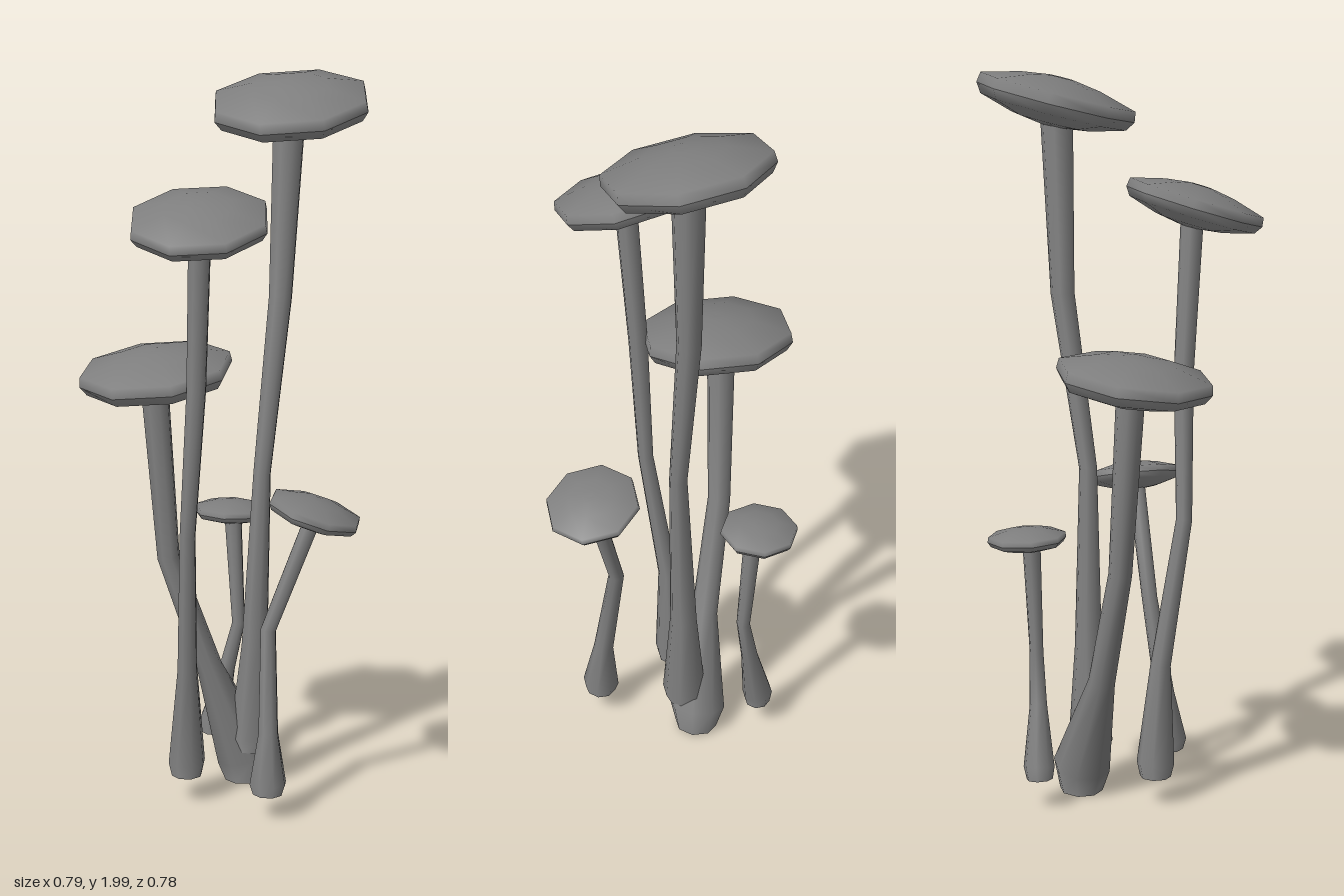
import * as THREE from 'three';

const SIDES = 8;
const UP = new THREE.Vector3(0, 1, 0);
const crownMaterial = new THREE.MeshStandardMaterial({ color: 0x7e7e7e });
const undersideMaterial = new THREE.MeshStandardMaterial({ color: 0x9a9a9a });
const stemMaterial = new THREE.MeshStandardMaterial({ color: 0x848484, side: THREE.DoubleSide });

// Cap cross-sections for a rim radius of 1, listed upwards
const toProfile = (pairs) => pairs.map(([x, y]) => new THREE.Vector2(x, y));
const UNDERSIDE = toProfile([[0, -0.34], [0.15, -0.33], [0.5, -0.28], [0.92, -0.16], [1, -0.04]]);
const CROWN = toProfile([[1, -0.04], [0.98, 0.09], [0.5, 0.22], [0.16, 0.27], [0, 0.265]]);

// slope: [dy/dx, dy/dz] of the cap; stem rings: [x, y, z, radius] from base to top
const MUSHROOMS = [
  {
    name: 'tallest', center: [0.09, 1.922, -0.178], radius: 0.22, slope: [-0.05, -0.25], turn: 5,
    stem: [[0.025, 0.11, -0.075, 0.045], [0.027, 0.15, -0.078, 0.062], [0.035, 0.42, -0.085, 0.038],
      [0.055, 0.92, -0.088, 0.025], [0.072, 1.4, -0.16, 0.033], [0.087, 1.88, -0.177, 0.045]],
  },
  {
    name: 'secondTallest', center: [0.024, 1.652, 0.207], radius: 0.189, slope: [-0.09, -0.29], turn: 5,
    stem: [[-0.07, 0.085, 0.118, 0.043], [-0.07, 0.125, 0.118, 0.052], [-0.06, 0.4, 0.13, 0.028],
      [-0.025, 0.8, 0.188, 0.022], [0, 1.2, 0.182, 0.027], [0.022, 1.62, 0.2, 0.031]],
  },
  {
    name: 'middle', center: [-0.185, 1.212, 0.074], radius: 0.212, slope: [0.05, -0.14], turn: -4,
    stem: [[0, 0.013, -0.1, 0.06], [-0.005, 0.085, -0.098, 0.08], [-0.078, 0.35, -0.03, 0.037],
      [-0.172, 0.68, 0.035, 0.032], [-0.195, 1.18, 0.066, 0.039]],
  },
  {
    name: 'smallest', center: [-0.117, 0.757, -0.228], radius: 0.107, slope: [0, 0.05], turn: 17,
    stem: [[-0.155, 0.09, -0.19, 0.036], [-0.153, 0.125, -0.192, 0.043], [-0.115, 0.29, -0.2, 0.024],
      [-0.083, 0.43, -0.21, 0.019], [-0.105, 0.74, -0.218, 0.025]],
  },
  {
    name: 'leaning', center: [0.267, 0.863, 0.012], radius: 0.131, slope: [-0.28, 0.13], turn: -2,
    stem: [[0.185, 0.08, 0.122, 0.042], [0.185, 0.11, 0.121, 0.052], [0.18, 0.25, 0.11, 0.028],
      [0.158, 0.53, 0.07, 0.022], [0.265, 0.85, 0.015, 0.024]],
  },
];

// Bent, tapering stem, open at the foot: a tube whose rings follow the given points
function makeStem(rings) {
  const last = rings.length - 1;
  const points = rings.map(([x, y, z]) => new THREE.Vector3(x, y, z));
  const turns = points.map((p, i) => {
    const direction = points[Math.min(i + 1, last)].clone().sub(points[Math.max(i - 1, 0)]);
    return new THREE.Quaternion().setFromUnitVectors(UP, direction.normalize());
  });
  const geometry = new THREE.CylinderGeometry(1, 1, 1, SIDES, last, true);
  const { position, normal } = geometry.attributes;
  const v = new THREE.Vector3();
  for (let i = 0; i < position.count; i++) {
    v.fromBufferAttribute(position, i);
    const ring = Math.round((v.y + 0.5) * last);
    v.setY(0).multiplyScalar(rings[ring][3]).applyQuaternion(turns[ring]).add(points[ring]);
    position.setXYZ(i, v.x, v.y, v.z);
    v.fromBufferAttribute(normal, i).applyQuaternion(turns[ring]);
    normal.setXYZ(i, v.x, v.y, v.z);
  }
  const stem = new THREE.Mesh(geometry, stemMaterial);
  stem.name = 'stem';
  return stem;
}

function makeCapPart(name, profile, material) {
  const part = new THREE.Mesh(new THREE.LatheGeometry(profile, SIDES), material);
  part.name = name;
  return part;
}

// Shallow eight-sided cap, tilted to its slope
function makeCap({ center, radius, slope, turn }) {
  const cap = new THREE.Group();
  cap.name = 'cap';
  cap.add(
    makeCapPart('crown', CROWN, crownMaterial),
    makeCapPart('underside', UNDERSIDE, undersideMaterial),
  );
  cap.scale.setScalar(radius);
  cap.position.set(...center);
  const axis = new THREE.Vector3(-slope[0], 1, -slope[1]).normalize();
  const spin = new THREE.Quaternion().setFromAxisAngle(UP, THREE.MathUtils.degToRad(turn));
  cap.quaternion.setFromUnitVectors(UP, axis).multiply(spin);
  return cap;
}

export function createModel() {
  const model = new THREE.Group();
  model.name = 'mushroomCluster';
  for (const spec of MUSHROOMS) {
    const mushroom = new THREE.Group();
    mushroom.name = `${spec.name}Mushroom`;
    mushroom.add(makeStem(spec.stem), makeCap(spec));
    model.add(mushroom);
  }
  return model;
}
